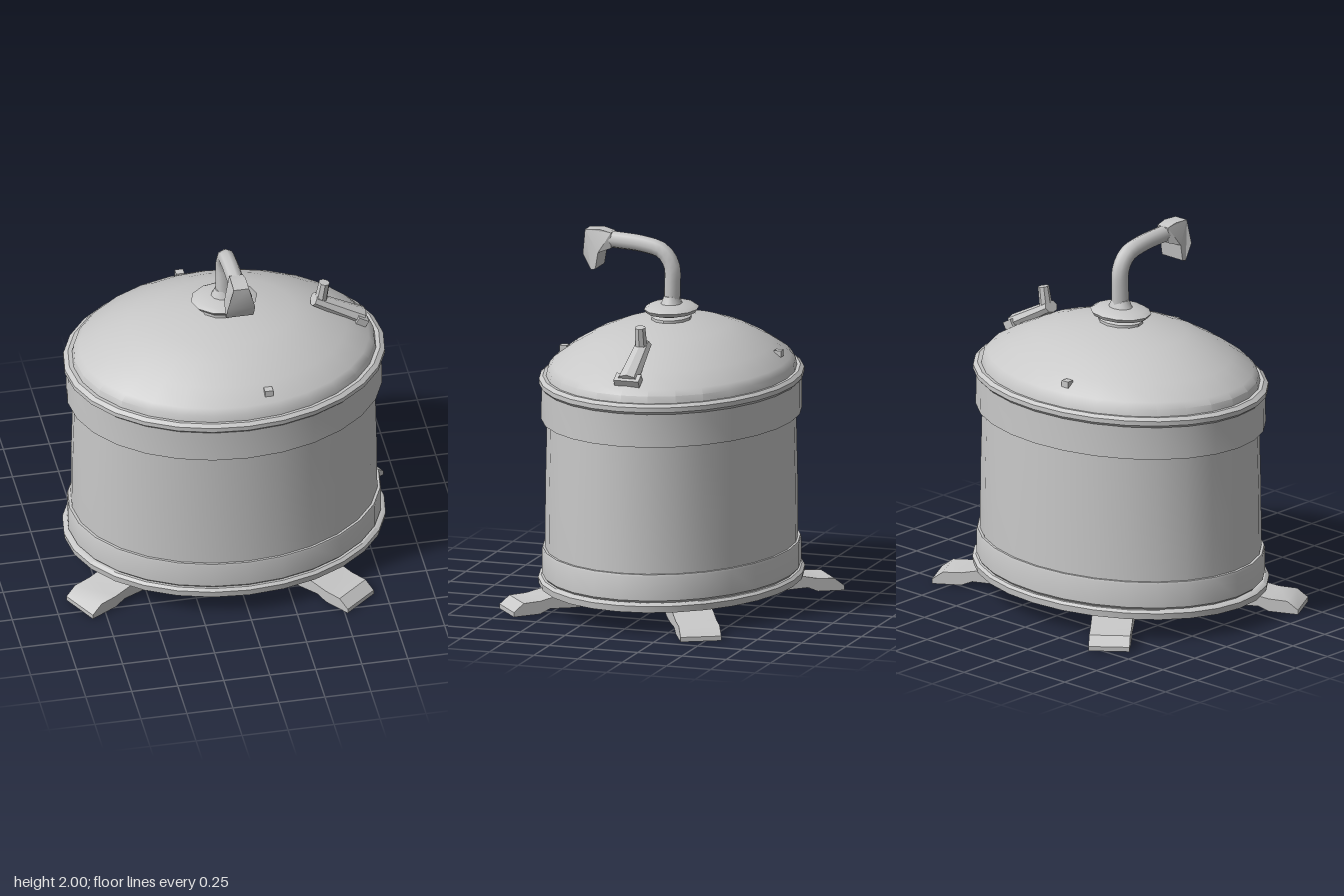
import * as THREE from 'three';
import { toCreasedNormals } from 'three/addons/utils/BufferGeometryUtils.js';

export function createModel() {
  const model = new THREE.Group();
  const metal = new THREE.MeshStandardMaterial({ color: 0xc8c8c8, side: THREE.DoubleSide });
  metal.name = 'paleMetal';

  function add(name, geometry, parent = model, crease = 0.6) {
    const mesh = new THREE.Mesh(toCreasedNormals(geometry, crease), metal);
    mesh.name = name;
    parent.add(mesh);
    return mesh;
  }
  // Oval turned part: profile runs [x radius, height] from bottom to top
  function oval(name, profile, segments = 28, depth = 0.793) {
    const points = profile.map(([r, y]) => new THREE.Vector2(r, y));
    return add(name, new THREE.LatheGeometry(points, segments).scale(1, 1, depth));
  }

  // Drum: base plate, lower band, wall and upper band
  oval('basePlate', [[0, 0.1], [0.45, 0.1], [0.84, 0.115], [0.865, 0.12], [0.87, 0.155], [0.85, 0.168], [0.8, 0.168]]);
  oval('lowerBand', [[0.83, 0.165], [0.845, 0.18], [0.845, 0.31], [0.84, 0.322], [0.81, 0.322]]);
  oval('wall', [[0.825, 0.31], [0.822, 0.65], [0.812, 1.03]]);
  oval('upperBand', [[0.8, 1.02], [0.85, 1.02], [0.848, 1.2], [0.865, 1.215], [0.865, 1.24], [0.84, 1.255], [0.79, 1.25]]);

  // Domed lid
  oval('lid', [[0.82, 1.24], [0.81, 1.29], [0.78, 1.32], [0.66, 1.39], [0.52, 1.455],
    [0.38, 1.5], [0.2, 1.53], [0, 1.545]]);

  // Collar under the spout
  oval('collar', [[0.13, 1.52], [0.13, 1.55], [0.1, 1.56], [0.165, 1.575], [0.18, 1.595],
    [0.15, 1.612], [0.07, 1.62], [0.05, 1.66], [0, 1.67]], 12, 0.8);

  // Bent spout pipe, reaching forward from the collar
  const v = (x, y, z) => new THREE.Vector3(x, y, z);
  const path = new THREE.CatmullRomCurve3([
    v(0, 1.6, 0), v(0, 1.72, -0.005), v(0, 1.83, 0), v(0, 1.9, 0.05),
    v(0, 1.93, 0.16), v(0, 1.94, 0.28), v(0, 1.945, 0.39)]);
  add('spoutPipe', new THREE.TubeGeometry(path, 18, 0.046, 8), model, 0.9);

  // Spout head with a lip hanging down at the front
  const headShape = new THREE.Shape([[0.33, 1.9], [0.33, 1.985], [0.39, 2], [0.475, 1.995],
    [0.475, 1.87], [0.43, 1.785], [0.405, 1.79], [0.39, 1.88]]
    .map(([z, y]) => new THREE.Vector2(z, y)));
  const head = new THREE.ExtrudeGeometry(headShape, { depth: 0.15, bevelEnabled: false });
  head.translate(0, 0, -0.075).rotateY(-Math.PI / 2);
  // Narrow the head at its top, bottom and rear
  const p = head.attributes.position;
  for (let i = 0; i < p.count; i++) {
    const y = p.getY(i), z = p.getZ(i);
    const k = z < 0.35 ? 0.5 : y > 1.96 ? 0.55 : 1;
    p.setX(i, p.getX(i) * k);
  }
  add('spoutHead', head, model, 0.5);

  // Latch lying on the sloping left side of the lid
  const latch = new THREE.Group();
  latch.name = 'latch';
  latch.position.set(0.62, 1.43, -0.015);
  latch.rotation.z = -0.52;
  model.add(latch);
  add('latchBar', new THREE.CylinderGeometry(0.06, 0.045, 0.3, 8)
    .rotateZ(-Math.PI / 2).scale(1, 0.75, 1), latch);
  add('latchFoot', new THREE.BoxGeometry(0.06, 0.06, 0.14).translate(0.14, -0.01, 0), latch);
  add('latchPin', new THREE.CylinderGeometry(0.03, 0.035, 0.12, 8)
    .rotateZ(0.35).translate(-0.13, 0.06, 0), latch);

  // Small studs on the front and back of the lid
  for (const s of [1, -1]) {
    add('lidStud', new THREE.BoxGeometry(0.045, 0.035, 0.04).translate(0.13 * s, 1.36, 0.56 * s));
  }

  // Four splayed feet: side profile is [distance from centre, height]
  const footShape = new THREE.Shape([[0.33, 0.105], [0.33, 0.085], [0.52, 0.03], [0.64, 0.025],
    [0.78, 0.03], [0.84, 0.005], [1, 0], [1, 0.025], [0.94, 0.07], [0.84, 0.075],
    [0.72, 0.1], [0.55, 0.105]].map(([r, y]) => new THREE.Vector2(r, y)));
  for (const [x, z] of [[0.6, 0.72], [-0.88, 0.48], [-0.59, -0.73], [0.89, -0.48]]) {
    const reach = Math.hypot(x, z);
    const foot = new THREE.ExtrudeGeometry(footShape, { depth: 0.22, bevelEnabled: false });
    foot.translate(0, 0, -0.11).scale(reach, 1, 1);
    add('foot', foot).rotation.y = Math.atan2(-z, x);
  }
  return model;
}
